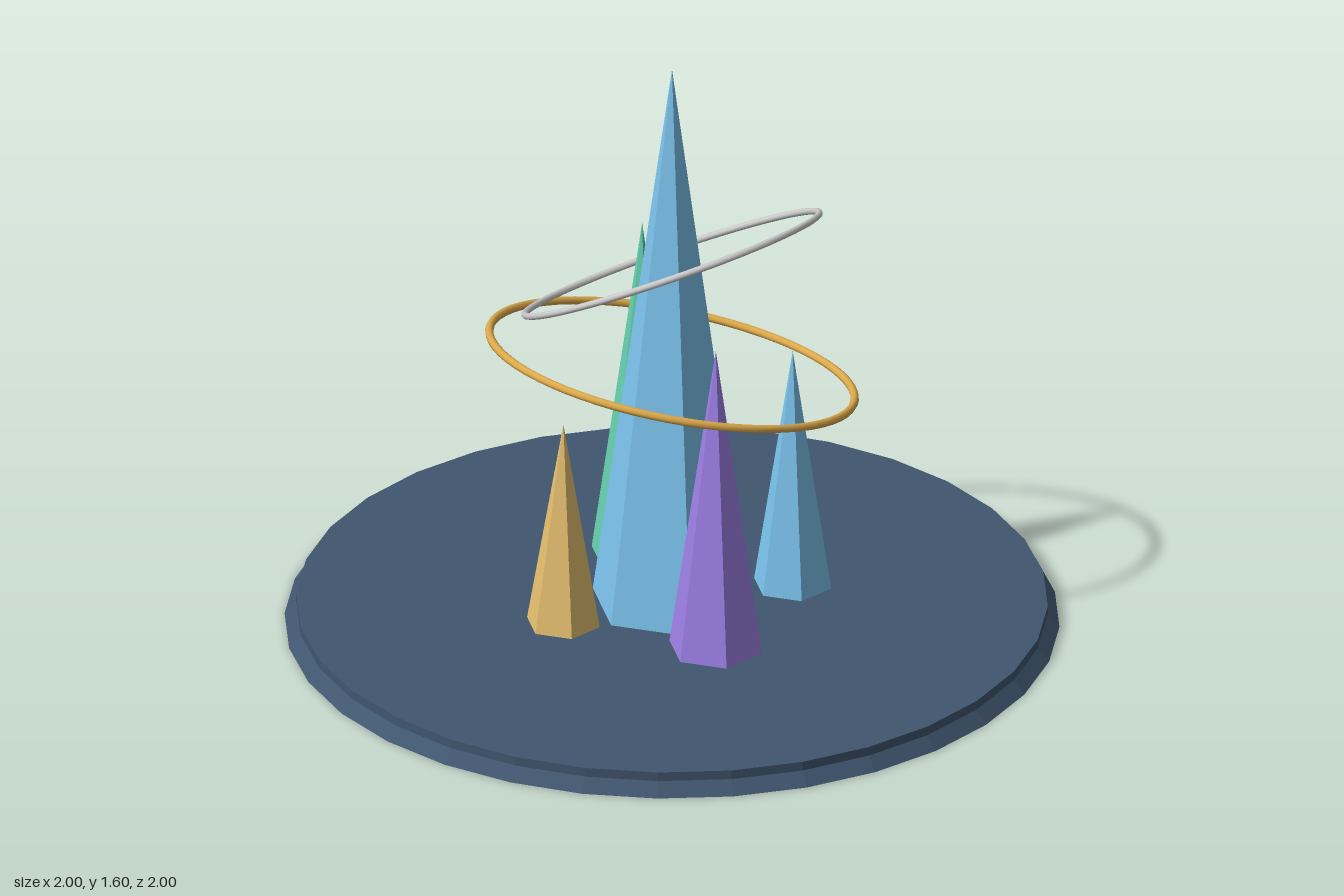
import * as THREE from 'three';

const BASE_TOP = 0.06;

function material(color, flatShading) {
  return new THREE.MeshStandardMaterial({ color, flatShading });
}

// Six-sided spike standing on the base
function crystal(name, color, x, z, radius, tip) {
  const height = tip - BASE_TOP;
  const mesh = new THREE.Mesh(new THREE.ConeGeometry(radius, height, 6), material(color, true));
  mesh.position.set(x, BASE_TOP + height / 2, z);
  mesh.name = name;
  return mesh;
}

// Thin floating hoop, laid flat and then tilted about x or z
function ring(name, color, y, radius, tube, tiltX, tiltZ) {
  const geometry = new THREE.TorusGeometry(radius, tube, 8, 64);
  geometry.rotateX(Math.PI / 2);
  const mesh = new THREE.Mesh(geometry, material(color, false));
  mesh.rotation.set(tiltX, 0, tiltZ);
  mesh.position.y = y;
  mesh.name = name;
  return mesh;
}

export function createModel() {
  const group = new THREE.Group();
  group.name = 'crystalDisplay';

  // Round base with a flared foot
  const profile = [[0, 0], [1, 0], [0.97, 0.035], [0.97, BASE_TOP], [0, BASE_TOP]]
    .map(([r, y]) => new THREE.Vector2(r, y));
  const base = new THREE.Mesh(new THREE.LatheGeometry(profile, 32), material(0x40566f, true));
  base.name = 'base';
  group.add(base);

  // Central spire and the four smaller crystals around it
  group.add(
    crystal('centralCrystal', 0x7cc4ee, 0, 0, 0.214, 1.6),
    crystal('greenCrystal', 0x66d0ae, -0.243, -0.12, 0.136, 1.02),
    crystal('purpleCrystal', 0x9d80e6, 0.272, 0.098, 0.125, 0.92),
    crystal('amberCrystal', 0xe6c070, -0.097, 0.292, 0.098, 0.635),
    crystal('smallBlueCrystal', 0x7cc4ee, 0.145, -0.29, 0.104, 0.735),
  );

  // Floating rings
  group.add(
    ring('lowerRing', 0xe0ac4c, 0.742, 0.48, 0.011, -0.26, 0),
    ring('upperRing', 0xcccccc, 1.035, 0.402, 0.009, 0, 0.5),
  );
  return group;
}
